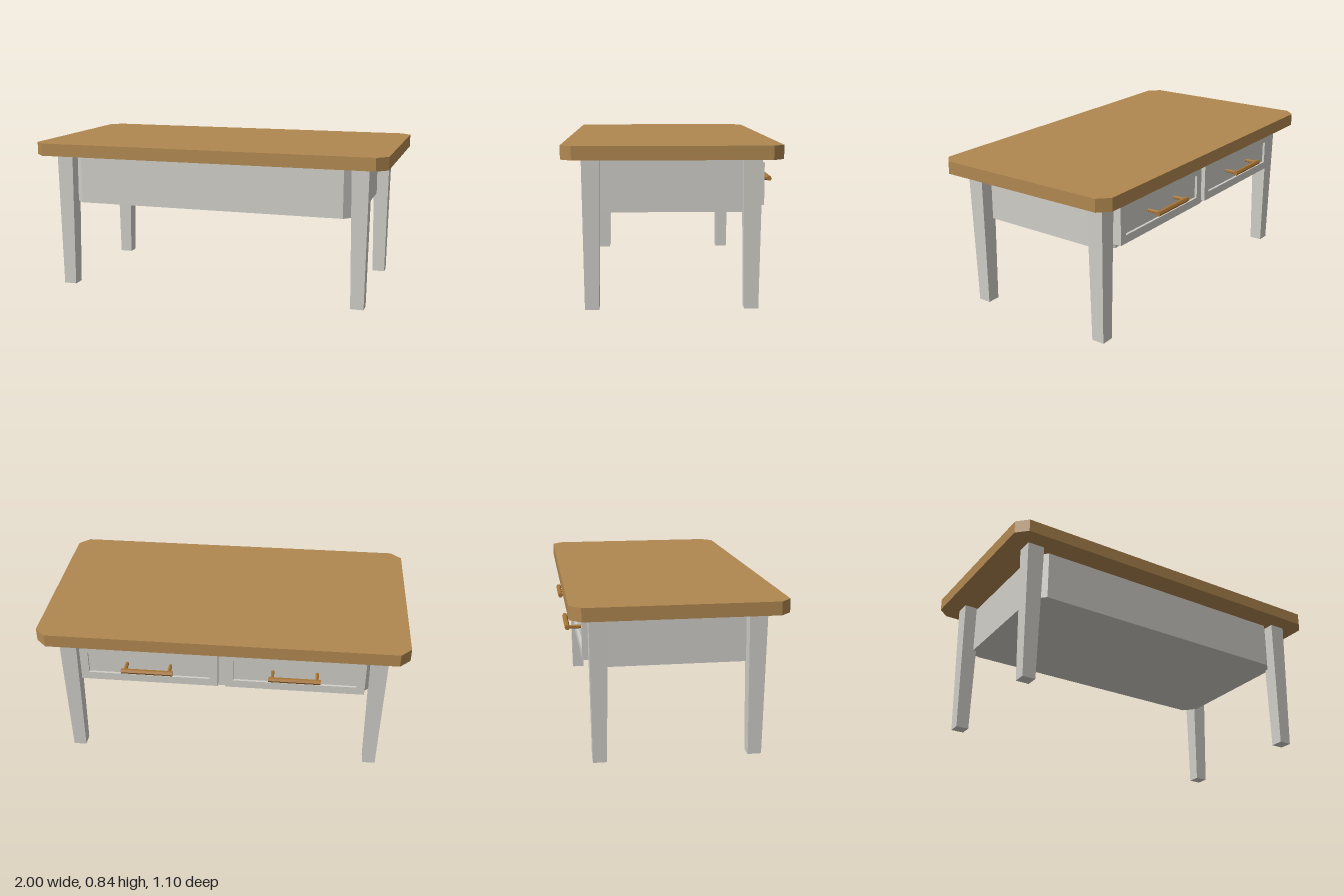
import * as THREE from 'three';

const paint = new THREE.MeshStandardMaterial({ color: 0xd0cec8 });
paint.name = 'pale grey paint';
const wood = new THREE.MeshStandardMaterial({ color: 0xb18850 });
wood.name = 'oak';
const handleMat = new THREE.MeshStandardMaterial({ color: 0xa87536 });
handleMat.name = 'bronze';
paint.flatShading = wood.flatShading = handleMat.flatShading = true;

function add(parent, name, geometry, material, x = 0, y = 0, z = 0) {
  const mesh = new THREE.Mesh(geometry, material);
  mesh.name = name;
  mesh.position.set(x, y, z);
  parent.add(mesh);
  return mesh;
}

// Horizontal slab with cut corners, its base at y = 0
function chamferedSlab(hx, hz, cut, height) {
  const points = [
    [hx, -hz + cut], [hx, hz - cut], [hx - cut, hz], [-hx + cut, hz],
    [-hx, hz - cut], [-hx, -hz + cut], [-hx + cut, -hz], [hx - cut, -hz],
  ].map(([x, z]) => new THREE.Vector2(x, z));
  const geometry = new THREE.ExtrudeGeometry(new THREE.Shape(points), { depth: height, bevelEnabled: false });
  return geometry.rotateX(-Math.PI / 2);
}

// Rectangular frame of the given border, facing z
function frame(w, h, border, depth) {
  const rect = (path, a, b) => path.moveTo(-a, -b).lineTo(a, -b).lineTo(a, b).lineTo(-a, b).closePath();
  const shape = new THREE.Shape();
  rect(shape, w / 2, h / 2);
  const hole = new THREE.Path();
  rect(hole, w / 2 - border, h / 2 - border);
  shape.holes.push(hole);
  return new THREE.ExtrudeGeometry(shape, { depth, bevelEnabled: false });
}

// Drawer front with a recessed panel and a bar handle, facing -z
function createDrawer() {
  const drawer = new THREE.Group();
  drawer.name = 'drawer';
  add(drawer, 'drawerPanel', new THREE.BoxGeometry(0.69, 0.15, 0.04), paint, 0, 0, -0.444);
  add(drawer, 'drawerFrame', frame(0.76, 0.22, 0.045, 0.053), paint, 0, 0, -0.478);

  const handle = new THREE.Group();
  handle.name = 'handle';
  drawer.add(handle);
  const bar = new THREE.CylinderGeometry(0.014, 0.014, 0.28, 6).rotateX(Math.PI / 2);
  bar.rotateX(-Math.PI / 2).rotateZ(Math.PI / 2);
  add(handle, 'handleBar', bar, handleMat, 0, 0, -0.538);
  const post = new THREE.CylinderGeometry(0.01, 0.01, 0.08, 6).rotateX(Math.PI / 2);
  for (const side of [-1, 1]) add(handle, 'handlePost', post, handleMat, side * 0.12, 0, -0.5);
  return drawer;
}

export function createModel() {
  const table = new THREE.Group();
  table.name = 'coffeeTable';

  add(table, 'tabletop', chamferedSlab(1, 0.55, 0.058, 0.07), wood, 0, 0.77, 0);
  add(table, 'apron', chamferedSlab(0.825, 0.43, 0.065, 0.27), paint, 0, 0.49, 0);

  // Four square legs tapering towards the floor
  const leg = new THREE.CylinderGeometry(0.047 * Math.SQRT2, 0.036 * Math.SQRT2, 0.77, 4).rotateY(Math.PI / 4);
  for (const x of [-0.85, 0.85]) {
    for (const z of [-0.405, 0.405]) add(table, 'leg', leg, paint, x, 0.385, z);
  }

  // Two drawers side by side at the back
  for (const x of [-0.4, 0.4]) {
    const drawer = createDrawer();
    drawer.position.set(x, 0.628, 0);
    table.add(drawer);
  }
  return table;
}
